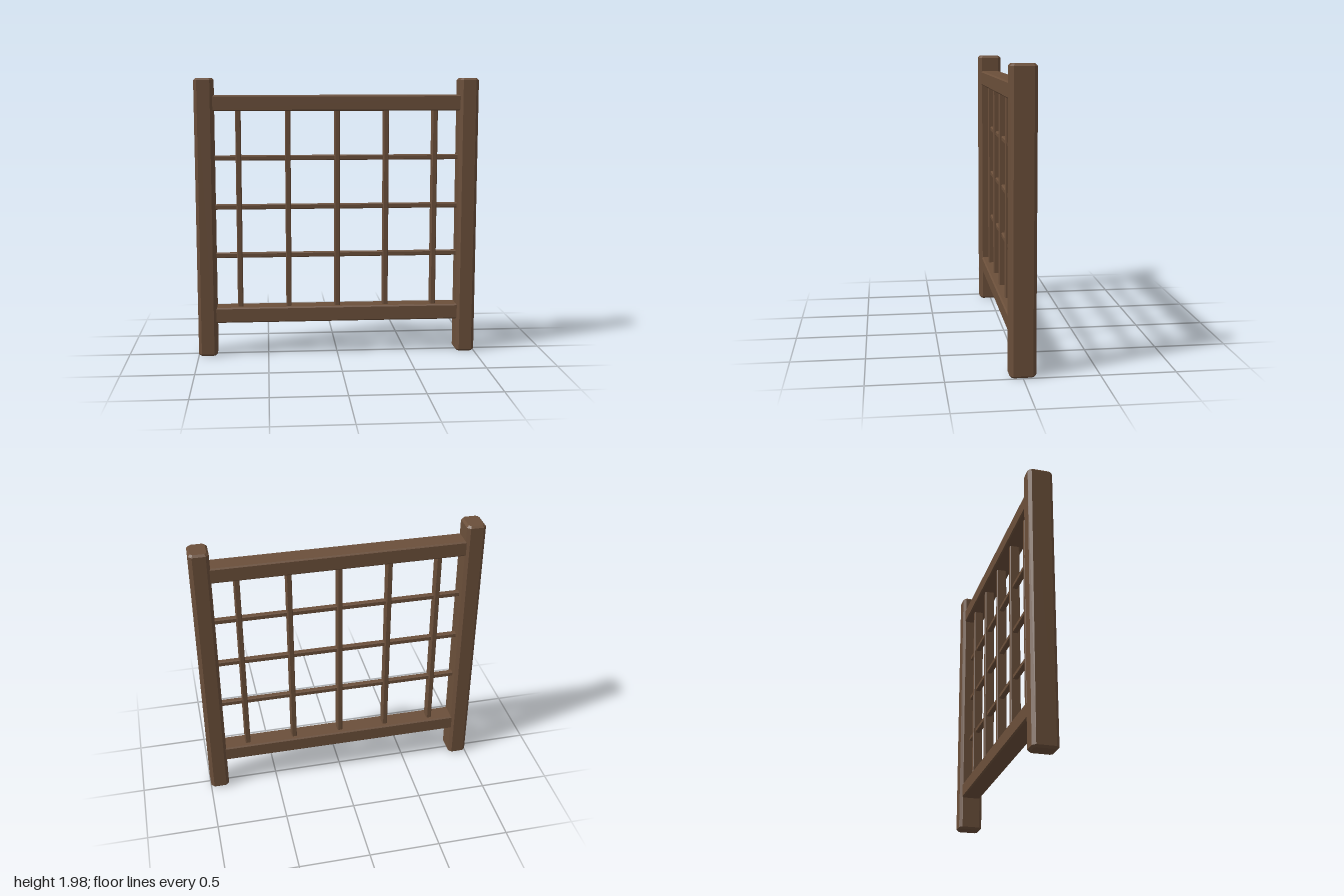
import * as THREE from 'three';

const wood = new THREE.MeshStandardMaterial({ color: 0x6b4f3a, flatShading: true });

// Timber along z: w by h section with corners cut by c, ends chamfered by e
function timber(w, h, length, c, e) {
  const x = w / 2, y = h / 2;
  const section = new THREE.Shape([
    [x - c, -y], [x, -y + c], [x, y - c], [x - c, y],
    [-x + c, y], [-x, y - c], [-x, -y + c], [-x + c, -y],
  ].map(([a, b]) => new THREE.Vector2(a, b)));
  const geo = new THREE.ExtrudeGeometry(section, {
    depth: length - 2 * e, steps: 1,
    bevelEnabled: e > 0, bevelSize: e, bevelThickness: e, bevelOffset: -e, bevelSegments: 1,
  });
  return geo.translate(0, 0, e - length / 2);
}

// Upright: w along x, d along z; crosswise: h along y, d along z
const upright = (w, d, length, c, e) => timber(w, d, length, c, e).rotateX(-Math.PI / 2);
const crosswise = (h, d, length, c, e) => timber(d, h, length, c, e).rotateY(Math.PI / 2);

export function createModel() {
  const group = new THREE.Group();
  const add = (name, geo, x, y) => {
    const mesh = new THREE.Mesh(geo, wood);
    mesh.name = name;
    mesh.position.set(x, y, 0);
    group.add(mesh);
  };

  // Heavy side posts with chamfered edges
  const post = upright(0.134, 0.172, 1.98, 0.022, 0.014);
  add('leftPost', post, 0.933, 0.99);
  add('rightPost', post, -0.933, 0.99);

  // Top and bottom rails between the posts
  const rail = crosswise(0.11, 0.139, 1.744, 0.009, 0);
  add('topRail', rail, 0, 1.807);
  add('bottomRail', rail, 0, 0.295);

  // Lattice: deep vertical bars crossed by slimmer horizontal bars
  const verticalBar = upright(0.038, 0.07, 1.41, 0.006, 0);
  for (let i = -2; i <= 2; i++) add('verticalBar', verticalBar, i * 0.349, 1.051);

  const horizontalBar = crosswise(0.036, 0.038, 1.744, 0.006, 0);
  for (let i = -1; i <= 1; i++) add('horizontalBar', horizontalBar, 0, 1.072 + i * 0.349);

  return group;
}
